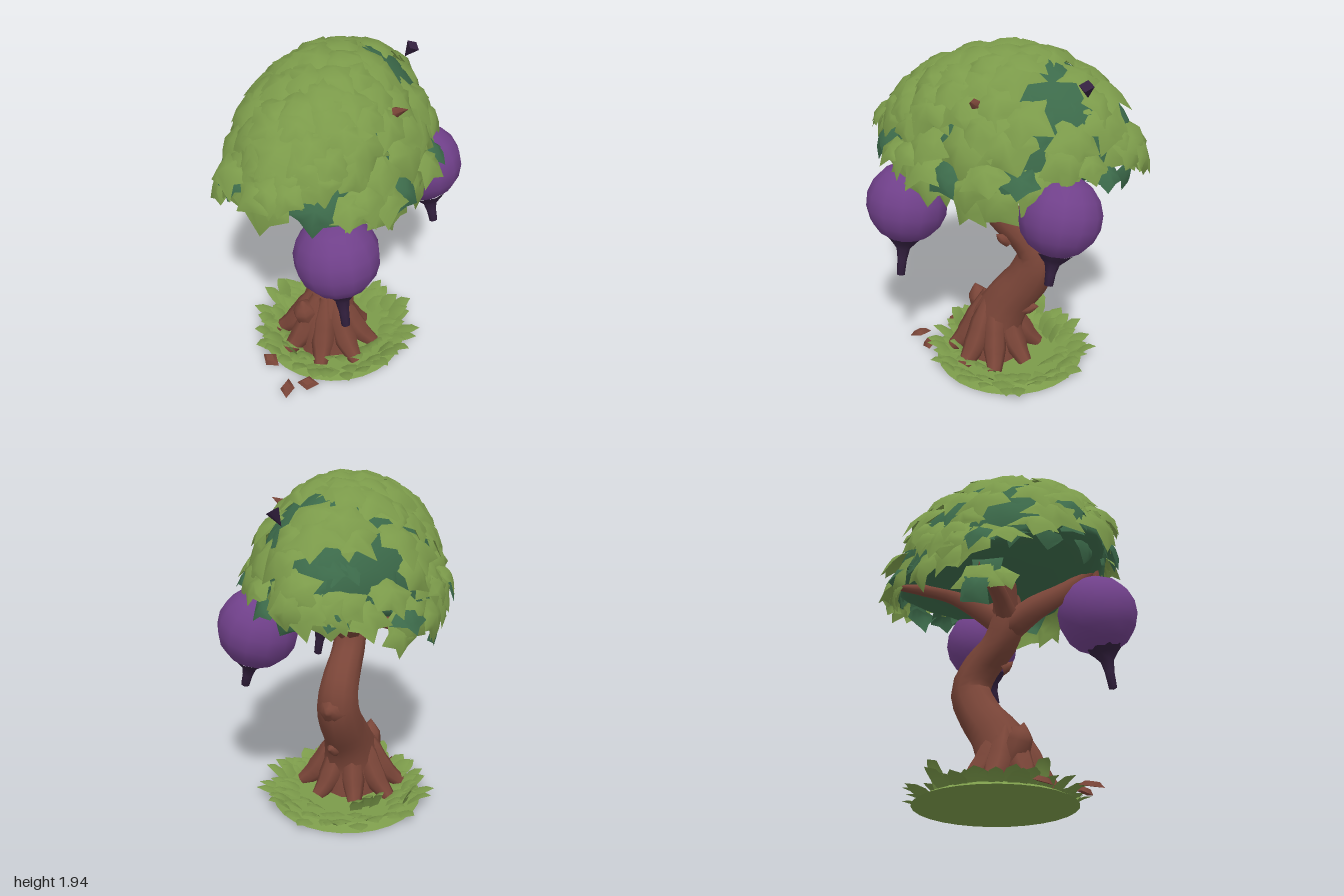
import * as THREE from 'three';
import { mergeGeometries, mergeVertices } from 'three/addons/utils/BufferGeometryUtils.js';

const V = (x, y, z) => new THREE.Vector3(x, y, z);

export function createModel() {
  const model = new THREE.Group();
  let seed = 11;
  const rnd = (a = 0, b = 1) => {
    seed = (seed * 16807) % 2147483647;
    return a + (b - a) * seed / 2147483647;
  };

  const mat = (name, color, side = THREE.FrontSide) => {
    const m = new THREE.MeshStandardMaterial({ color, side });
    m.name = name;
    return m;
  };
  const leafGreen = mat('leafGreen', 0x7b9a4a, THREE.DoubleSide);
  const deepGreen = mat('deepGreen', 0x3c6a4a, THREE.DoubleSide);
  const bark = mat('bark', 0x7a4538);
  const purple = mat('purple', 0x70408a);
  const darkPurple = mat('darkPurple', 0x33203f);

  const add = (name, geo, material, parent = model) => {
    const mesh = new THREE.Mesh(geo, material);
    mesh.name = name;
    parent.add(mesh);
    return mesh;
  };

  // Tapered limb: a unit tube whose rings are rescaled along its path
  const limb = (pts, radii, sides = 9, rough = 0.06) => {
    const curve = new THREE.CatmullRomCurve3(pts.map(p => V(...p)));
    const steps = (pts.length - 1) * 3;
    const geo = new THREE.TubeGeometry(curve, steps, 1, sides);
    const pos = geo.attributes.position, v = V(0, 0, 0);
    for (let i = 0; i <= steps; i++) {
      const c = curve.getPointAt(i / steps);
      const f = i / steps * (radii.length - 1), k = Math.min(Math.floor(f), radii.length - 2);
      const r = THREE.MathUtils.lerp(radii[k], radii[k + 1], f - k);
      for (let j = 0; j <= sides; j++) {
        const n = i * (sides + 1) + j;
        const s = r * (1 + rough * Math.sin((j % sides) * 2.4 + i * 0.5));
        v.fromBufferAttribute(pos, n).sub(c).multiplyScalar(s).add(c);
        pos.setXYZ(n, v.x, v.y, v.z);
      }
    }
    geo.deleteAttribute('uv');
    geo.deleteAttribute('normal');
    const out = mergeVertices(geo, 1e-5);
    out.computeVertexNormals();
    return out;
  };

  // Trunk with its S-bend
  add('trunk', limb(
    [[0, 0.03, 0.09], [0, 0.2, 0.085], [0, 0.38, 0.01], [0, 0.55, -0.11], [0, 0.7, -0.165],
      [0, 0.82, -0.1], [0, 0.94, 0.03], [0, 1.08, 0.09], [0, 1.2, 0.09]],
    [0.2, 0.17, 0.145, 0.13, 0.12, 0.105, 0.095, 0.095, 0.07], 12, 0.05), bark);

  // Flared roots
  for (let i = 0; i < 8; i++) {
    const a = (i + 0.4) / 8 * Math.PI * 2, s = Math.sin(a), c = Math.cos(a);
    const p = (r, y) => [s * r, y, 0.09 + c * r * 0.85];
    add('root', limb([p(0.07, 0.4), p(0.13, 0.25), p(0.2, 0.13), p(0.3, 0.045)],
      [0.03, 0.065, 0.07, 0.04], 7), bark);
  }

  // Branches
  const branches = [
    [[[0, 1.02, 0.1], [0.03, 1.1, 0.24], [0.12, 1.2, 0.38], [0.25, 1.36, 0.48], [0.28, 1.45, 0.5]], [0.08, 0.07, 0.055, 0.04, 0.03]],
    [[[0, 1.02, 0.07], [0.07, 1.18, -0.06], [0.17, 1.31, -0.2], [0.28, 1.43, -0.3], [0.34, 1.5, -0.34]], [0.08, 0.075, 0.055, 0.045, 0.03]],
    [[[0, 1.04, 0.06], [-0.08, 1.15, -0.07], [-0.19, 1.22, -0.18], [-0.3, 1.24, -0.28], [-0.42, 1.24, -0.38]], [0.07, 0.06, 0.045, 0.035, 0.015]],
    [[[0, 1.05, 0.1], [-0.14, 1.15, 0.13], [-0.27, 1.2, 0.15], [-0.4, 1.22, 0.16]], [0.07, 0.05, 0.04, 0.02]],
    [[[0, 1.05, 0.08], [-0.07, 1.22, 0.12], [-0.16, 1.45, 0.18]], [0.08, 0.065, 0.05]],
    [[[0.28, 1.28, 0.5], [0.27, 1.42, 0.49]], [0.035, 0.03]],
    [[[0.37, 1.36, -0.37], [0.35, 1.47, -0.34]], [0.035, 0.03]],
  ];
  for (const [pts, radii] of branches) add('branch', limb(pts, radii, 8), bark);

  // Cut stubs and knots on the trunk
  const knots = [
    [[[-0.07, 0.2, 0.15], [-0.08, 0.3, 0.21], [-0.08, 0.4, 0.24], [-0.08, 0.405, 0.24]], [0.08, 0.075, 0.065, 0]],
    [[[0.03, 0.34, -0.02], [0.04, 0.37, -0.13], [0.05, 0.39, -0.19], [0.05, 0.39, -0.193]], [0.06, 0.05, 0.04, 0]],
    [[[0, 0.66, -0.13], [0.01, 0.67, -0.22], [0.02, 0.68, -0.31], [0.02, 0.68, -0.312]], [0.11, 0.1, 0.075, 0]],
    [[[0.04, 0.8, 0], [0.08, 0.83, 0.03], [0.1, 0.86, 0.05]], [0.04, 0.03, 0]],
  ];
  for (const [pts, radii] of knots) add('knot', limb(pts, radii, 7), bark);

  // Inner crown: dome with a shallow underside, hem rising to front and back
  const CY = 1.3;
  const taper = z => 1 - 0.3 * Math.max(0, -z) ** 2;
  const lift = (z, h) => 0.13 * z * z * (1 - Math.max(0, h));
  const dome = new THREE.SphereGeometry(1, 24, 16);
  const dp = dome.attributes.position;
  for (let i = 0; i < dp.count; i++) {
    const x = dp.getX(i), y = dp.getY(i), z = dp.getZ(i);
    const w = 1 + 0.03 * Math.sin(x * 9 + z * 7) * Math.cos(y * 8 - z * 5);
    dp.setXYZ(i, x * 0.49 * w * taper(z), CY + lift(z, y) + y * (y > 0 ? 0.6 * w : 0.08), z * 0.68 * w);
  }
  dome.computeVertexNormals();
  add('innerCrown', dome, deepGreen);

  // Leaf tuft: a drooping rosette of pointed lobes facing along the given normal
  const tuft = (at, normal, size, lobes = 5, droop = 0.3) => {
    const n = lobes * 2, verts = [0, 0, 0.04], idx = [], turn = rnd(0, 6.28);
    for (const ring of [0, 1]) {
      for (let i = 0; i < n; i++) {
        const tip = i % 2 === 0, a = turn + (i + rnd(-0.25, 0.25)) / n * Math.PI * 2;
        const r = ring ? (tip ? rnd(0.95, 1.25) : rnd(0.62, 0.8)) : (tip ? 0.6 : 0.5);
        verts.push(Math.cos(a) * r, Math.sin(a) * r, (tip ? 0.02 : -0.06) - droop * r * r + rnd(-0.08, 0.08));
      }
    }
    for (let i = 0; i < n; i++) {
      const j = (i + 1) % n, a = 1 + i, b = 1 + j;
      idx.push(0, a, b, a, a + n, b + n, a, b + n, b);
    }
    const g = new THREE.BufferGeometry();
    g.setAttribute('position', new THREE.Float32BufferAttribute(verts, 3));
    g.setIndex(idx);
    g.scale(size, size, size);
    g.applyQuaternion(new THREE.Quaternion().setFromUnitVectors(V(0, 0, 1), normal.clone().normalize()));
    g.translate(at.x, at.y, at.z);
    g.computeVertexNormals();
    return g;
  };

  // Shingled tufts spiralling down the crown, leaving dark gaps at the back, sides and hem
  const light = [], dark = [];
  const N = 120;
  for (let i = 0; i < N; i++) {
    const h = 1 - (i + 0.3) / N * 0.98, a = i * 2.39996;
    const s = Math.sqrt(1 - h * h), ux = Math.cos(a) * s, uz = Math.sin(a) * s;
    const at = V(ux * 0.535 * taper(uz), CY + lift(uz, h) + h * 0.645, uz * 0.72);
    const normal = V(ux / 0.5 + rnd(-0.35, 0.35), h / 0.6 + 0.6, uz / 0.7 + rnd(-0.35, 0.35));
    const band = uz < -0.33 && uz > -0.56 && Math.abs(ux) < 0.45;
    const gap = band || (uz < -0.25 && rnd() < 0.5) || (uz > 0.4 && h < 0.25 && rnd() < 0.6)
      || (Math.abs(ux) > 0.6 && h > 0.15 && h < 0.6 && rnd() < 0.4);
    if (gap) {
      at.sub(V(ux, h, uz).multiplyScalar(0.055));
      if (!band) dark.push(tuft(at, normal, rnd(0.1, 0.13)));
    } else light.push(tuft(at, normal, rnd(0.13, 0.175), 5, 0.35));
  }
  // Loose tufts fanning out around the hem
  for (let i = 0; i < 30; i++) {
    const a = i / 30 * Math.PI * 2 + rnd(-0.1, 0.1), x = Math.cos(a), z = Math.sin(a);
    const at = V(x * 0.55 * taper(z), 1.5 - 0.14 * x * x + rnd(-0.09, 0.09), z * 0.73);
    (i % 4 === 1 ? dark : light).push(tuft(at, V(x, rnd(0.5, 1.3), z), rnd(0.1, 0.14), 5, 0.4));
  }
  // Tufts hanging below the hem
  const hanging = [
    [-0.44, 1.13, 0.2, 0.13], [-0.34, 1.14, 0.3, 0.1], [-0.53, 1.25, -0.12, 0.13], [-0.54, 1.25, 0.08, 0.12],
    [0.44, 1.22, 0.1, 0.14], [0.5, 1.27, -0.08, 0.14], [0.42, 1.32, 0.25, 0.13], [-0.46, 1.3, -0.35, 0.13],
    [-0.12, 1.38, -0.72, 0.11], [0.08, 1.42, -0.76, 0.1], [-0.42, 1.22, -0.4, 0.1],
  ];
  for (const [x, y, z, s] of hanging) light.push(tuft(V(x, y, z), V(x, 0.15, z), s, 5, 0.3));
  for (const [x, y, z] of [[-0.47, 1.03, 0.2], [-0.38, 1.18, 0.22], [0.38, 1.22, 0.02], [0.1, 1.34, -0.68],
    [0.3, 1.33, 0.45], [-0.25, 1.35, 0.55], [0, 1.36, 0.62]])
    dark.push(tuft(V(x, y, z), V(x, 0, z), 0.1, 4));
  add('outerLeaves', mergeGeometries(light), leafGreen);
  add('shadedLeaves', mergeGeometries(dark), deepGreen);

  // Fruit with a dark tapering tail
  const tail = [[0, -0.44], [0.024, -0.43], [0.028, -0.34], [0.04, -0.27], [0.07, -0.23], [0.1, -0.198]];
  for (const [x, y, z, r, tilt, len] of [[0.285, 1.09, 0.5, 0.225, 0.17, 1], [0.375, 1.17, -0.375, 0.22, 0.28, 0.72]]) {
    const fruit = new THREE.Group();
    fruit.name = 'fruit';
    fruit.position.set(x, y, z);
    fruit.rotation.set(-0.08, 0, tilt);
    model.add(fruit);
    add('fruitBody', new THREE.SphereGeometry(r, 13, 9), purple, fruit);
    const profile = tail.map(([px, py]) => new THREE.Vector2(px, py < -0.23 ? -0.23 + (py + 0.23) * len : py));
    add('fruitTail', new THREE.LatheGeometry(profile, 8), darkPurple, fruit);
  }
  // Bud and twig tips peeking out of the crown
  const bud = add('bud', new THREE.ConeGeometry(0.04, 0.09, 4), darkPurple);
  bud.position.set(0.22, 1.79, -0.46);
  bud.rotation.z = 2.6;
  const twig = add('twigTip', new THREE.ConeGeometry(0.03, 0.08, 5), bark);
  twig.position.set(0.42, 1.75, 0.07);
  twig.rotation.z = -1.1;

  // Grass bed
  const bed = add('grassBed', new THREE.CylinderGeometry(0.38, 0.44, 0.03, 28), leafGreen);
  bed.position.y = 0.027;

  // Grass blade: a folded, curling pointed leaf with its face upwards
  const blade = (angle, radius, length, width, rise) => {
    const g = new THREE.PlaneGeometry(1, 1, 2, 3), p = g.attributes.position;
    for (let i = 0; i < p.count; i++) {
      const t = p.getY(i) + 0.5, u = p.getX(i) * 2;
      const w = width * [0.7, 1, 0.75, 0][Math.round(t * 3)];
      p.setXYZ(i, -u * w, rise * Math.sin(t * 1.9) - Math.abs(u) * w * 0.25, radius + length * t);
    }
    g.rotateY(angle);
    g.translate(0, 0.03, 0);
    g.computeVertexNormals();
    return g;
  };
  const blades = [];
  for (let i = 0; i < 84; i++) {
    const ring = i % 3, tall = rnd() < 0.14;
    blades.push(blade(i / 84 * Math.PI * 2 + rnd(-0.1, 0.1), [0.37, 0.32, 0.25][ring] + rnd(-0.02, 0.02),
      tall ? 0.09 : rnd(0.1, 0.15), rnd(0.04, 0.06), tall ? rnd(0.11, 0.16) : rnd(0.02, 0.09)));
  }
  add('grassBlades', mergeGeometries(blades), leafGreen);

  // Bark chips lying in front
  for (const [x, z, a] of [[0, 0.58, 0.4], [0.09, 0.49, 1.9], [-0.2, 0.43, 1.3]]) {
    const chip = add('barkChip', new THREE.CylinderGeometry(0.03, 0.055, 0.025, 4), bark);
    chip.position.set(x, 0.04, z);
    chip.rotation.set(0.2, a, 0.15);
    chip.scale.set(0.8, 1, 1.2);
  }
  return model;
}
